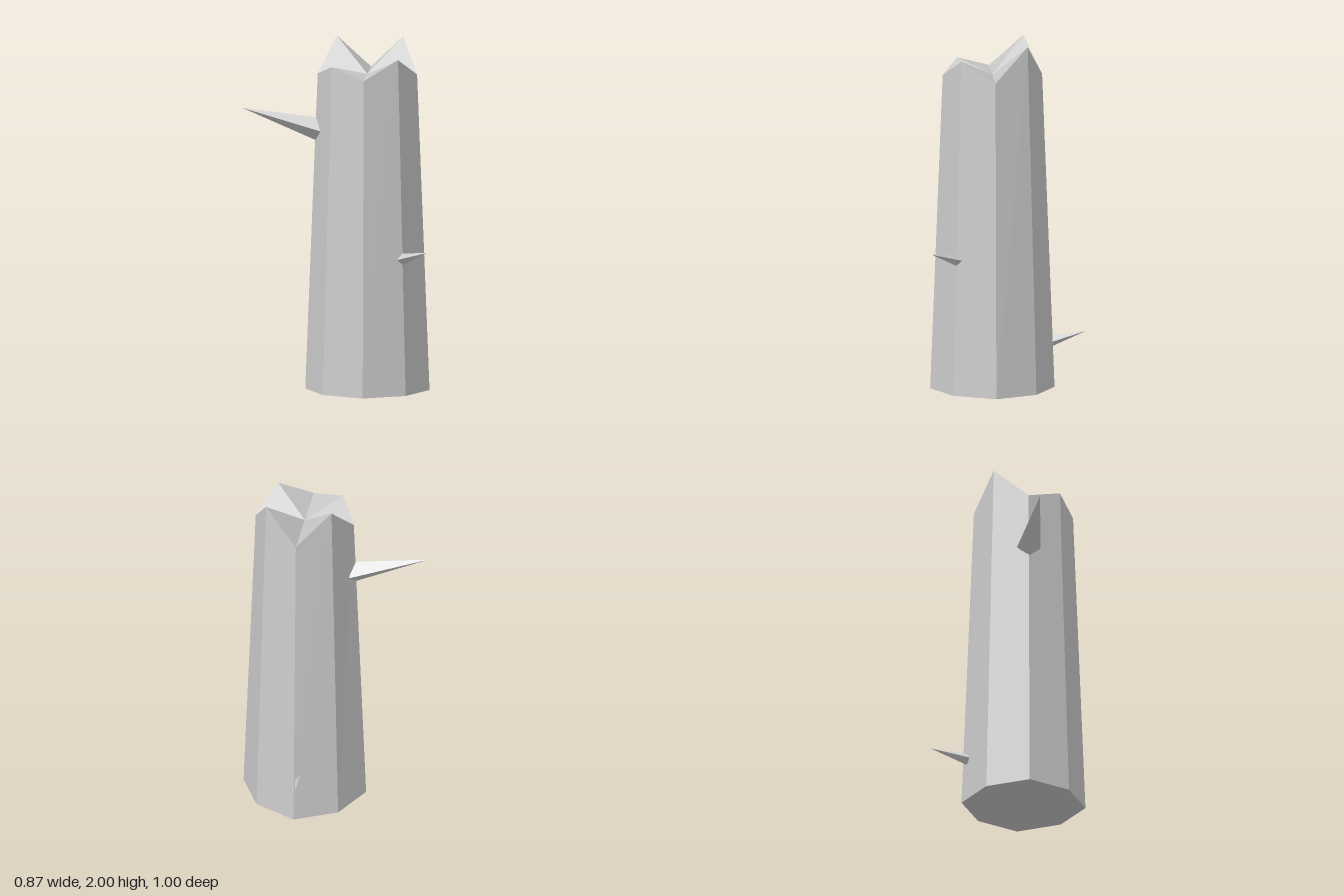
import * as THREE from 'three';

const CX = 0.083, CZ = -0.02, SIDES = 8;
// Heights of the broken rim, counter-clockwise from +x towards the back
const RIM = [2.0, 1.81, 2.0, 1.81, 1.875, 1.81, 1.92, 1.81];

// Corner of the trunk's section: r along the axes, d on both axes at the diagonals
function corner(i, r, d, y) {
  const a = (i % SIDES) * Math.PI / 4;
  const k = i % 2 ? d * Math.SQRT2 : r;
  return [Math.cos(a) * k, y, -Math.sin(a) * k];
}

// Tapered trunk with jagged top and flat bottom
function trunkGeometry() {
  const p = [];
  for (let i = 0; i < SIDES; i++) {
    const j = (i + 1) % SIDES;
    const b0 = corner(i, 0.333, 0.25, 0), b1 = corner(j, 0.333, 0.25, 0);
    const t0 = corner(i, 0.267, 0.2, RIM[i]), t1 = corner(j, 0.267, 0.2, RIM[j]);
    p.push(...b0, ...b1, ...t1, ...b0, ...t1, ...t0); // side
    p.push(0, 1.81, 0, ...t0, ...t1);                 // splintered top
    p.push(0, 0, 0, ...b1, ...b0);                    // bottom
  }
  const g = new THREE.BufferGeometry();
  g.setAttribute('position', new THREE.Float32BufferAttribute(p, 3));
  g.computeVertexNormals();
  return g;
}

export function createModel() {
  const group = new THREE.Group();
  const material = new THREE.MeshStandardMaterial({ color: 0xcccccc, flatShading: true });

  const trunk = new THREE.Mesh(trunkGeometry(), material);
  trunk.name = 'trunk';
  trunk.position.set(CX, 0, CZ);
  group.add(trunk);

  // Four-sided spike from a base centre to its tip
  function addBranch(name, base, tip, radius) {
    const from = new THREE.Vector3(...base), to = new THREE.Vector3(...tip);
    const length = from.distanceTo(to);
    const g = new THREE.ConeGeometry(radius, length, 4);
    g.translate(0, length / 2, 0).rotateX(Math.PI / 2);
    const branch = new THREE.Mesh(g, material);
    branch.name = name;
    branch.position.copy(from);
    branch.lookAt(to);
    group.add(branch);
  }
  addBranch('frontBranch', [CX, 0.78, 0.28], [CX, 0.842, 0.5], 0.034);
  addBranch('upperBackBranch', [-0.108, 1.488, -0.207], [-0.435, 1.61, -0.505], 0.067);
  addBranch('lowerBackBranch', [0.282, 0.253, -0.268], [0.432, 0.313, -0.426], 0.034);

  return group;
}
